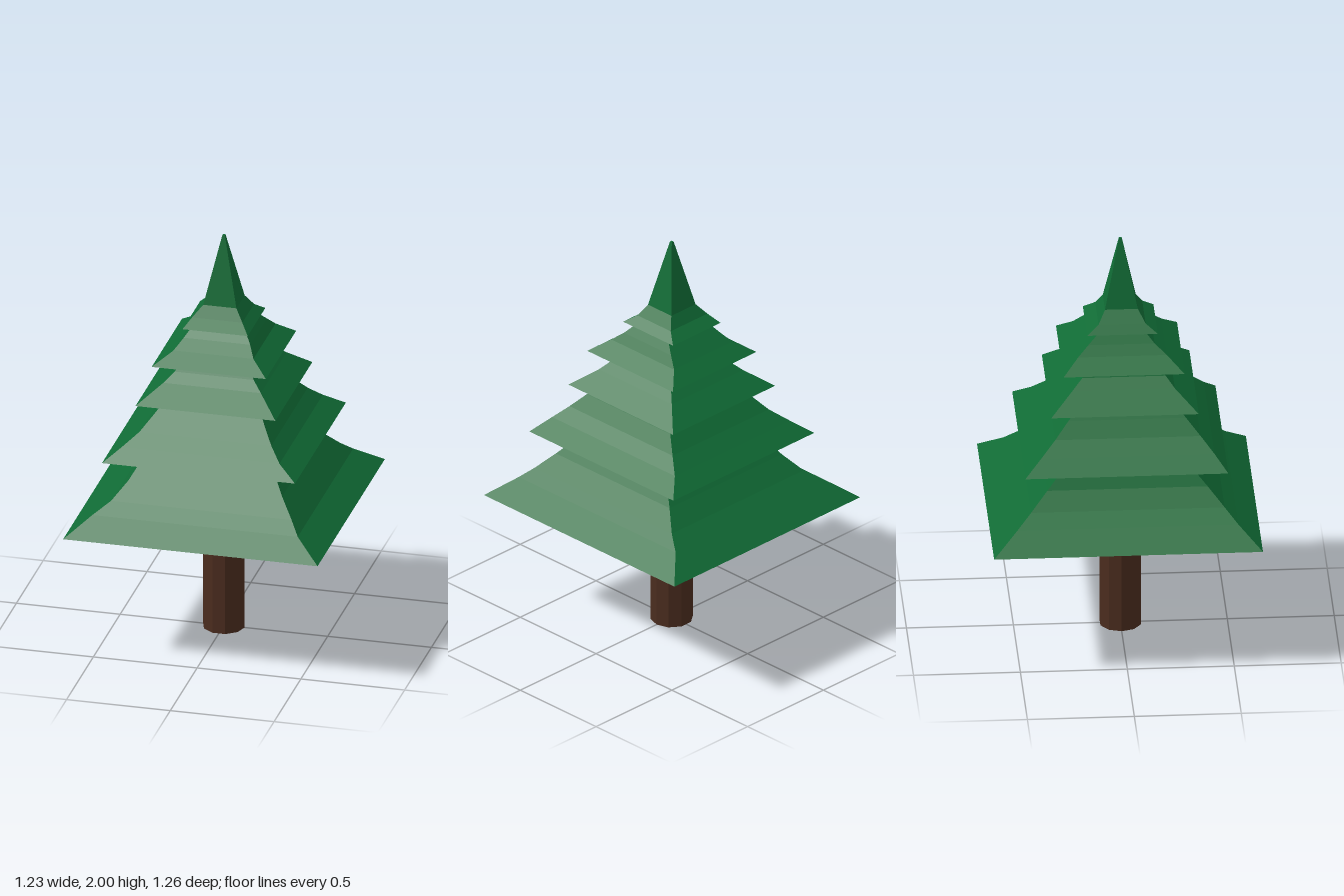
import * as THREE from 'three';

// Each row: height, then reach to left (-x), right (+x), front (+z), back (-z)
const TIERS = [
  [[0.645, 0.613, 0.613, 0.627, 0.63], [0.735, 0.5, 0.49, 0.52, 0.515], [0.79, 0.425, 0.445, 0.46, 0.445],
    [0.87, 0.36, 0.38, 0.385, 0.365], [0.985, 0.295, 0.3, 0.28, 0.26]],
  [[0.985, 0.465, 0.465, 0.475, 0.475], [1.05, 0.385, 0.375, 0.415, 0.395], [1.11, 0.315, 0.32, 0.355, 0.325],
    [1.18, 0.26, 0.27, 0.29, 0.26], [1.235, 0.22, 0.235, 0.24, 0.205]],
  [[1.235, 0.337, 0.337, 0.345, 0.345], [1.32, 0.23, 0.24, 0.24, 0.24],
    [1.365, 0.185, 0.195, 0.2, 0.19], [1.415, 0.16, 0.17, 0.165, 0.145]],
  [[1.415, 0.275, 0.275, 0.283, 0.283], [1.475, 0.19, 0.195, 0.205, 0.21],
    [1.52, 0.155, 0.165, 0.15, 0.16], [1.57, 0.12, 0.13, 0.105, 0.105]],
  [[1.57, 0.157, 0.157, 0.165, 0.165], [1.61, 0.125, 0.117, 0.11, 0.11],
    [1.665, 0.08, 0.08, 0.077, 0.077], [2, 0.006, 0.006, 0.006, 0.006], [2, 0, 0, 0, 0]],
];

// Skin a stack of four-cornered rows
function loft(rows) {
  const positions = rows.flatMap(([y, l, r, f, b]) => [r, y, f, r, y, -b, -l, y, -b, -l, y, f]);
  const index = [];
  for (let k = 0; k < rows.length - 1; k++) {
    for (let i = 0; i < 4; i++) {
      const a = k * 4 + i, b = k * 4 + (i + 1) % 4;
      index.push(a, b, b + 4, a, b + 4, a + 4);
    }
  }
  const geometry = new THREE.BufferGeometry();
  geometry.setAttribute('position', new THREE.Float32BufferAttribute(positions, 3));
  geometry.setIndex(index);
  const flat = geometry.toNonIndexed();
  flat.computeVertexNormals();
  return flat;
}

export function createModel() {
  const tree = new THREE.Group();
  tree.name = 'pineTree';
  const bark = new THREE.MeshStandardMaterial({ color: 0x4a2c1e, flatShading: true });
  const needles = new THREE.MeshStandardMaterial({ color: 0x106b35, flatShading: true });

  // Ten-sided trunk
  const trunk = new THREE.Mesh(new THREE.CylinderGeometry(0.1, 0.1, 0.65, 10, 1, false, Math.PI / 2), bark);
  trunk.name = 'trunk';
  trunk.position.y = 0.325;
  tree.add(trunk);

  // Flared square tiers; each underside starts at the top of the tier below
  TIERS.forEach((rows, i) => {
    const inner = i ? TIERS[i - 1].at(-1) : [rows[0][0], 0, 0, 0, 0];
    const tier = new THREE.Mesh(loft([inner, ...rows]), needles);
    tier.name = `foliageTier${i + 1}`;
    tree.add(tier);
  });
  return tree;
}
